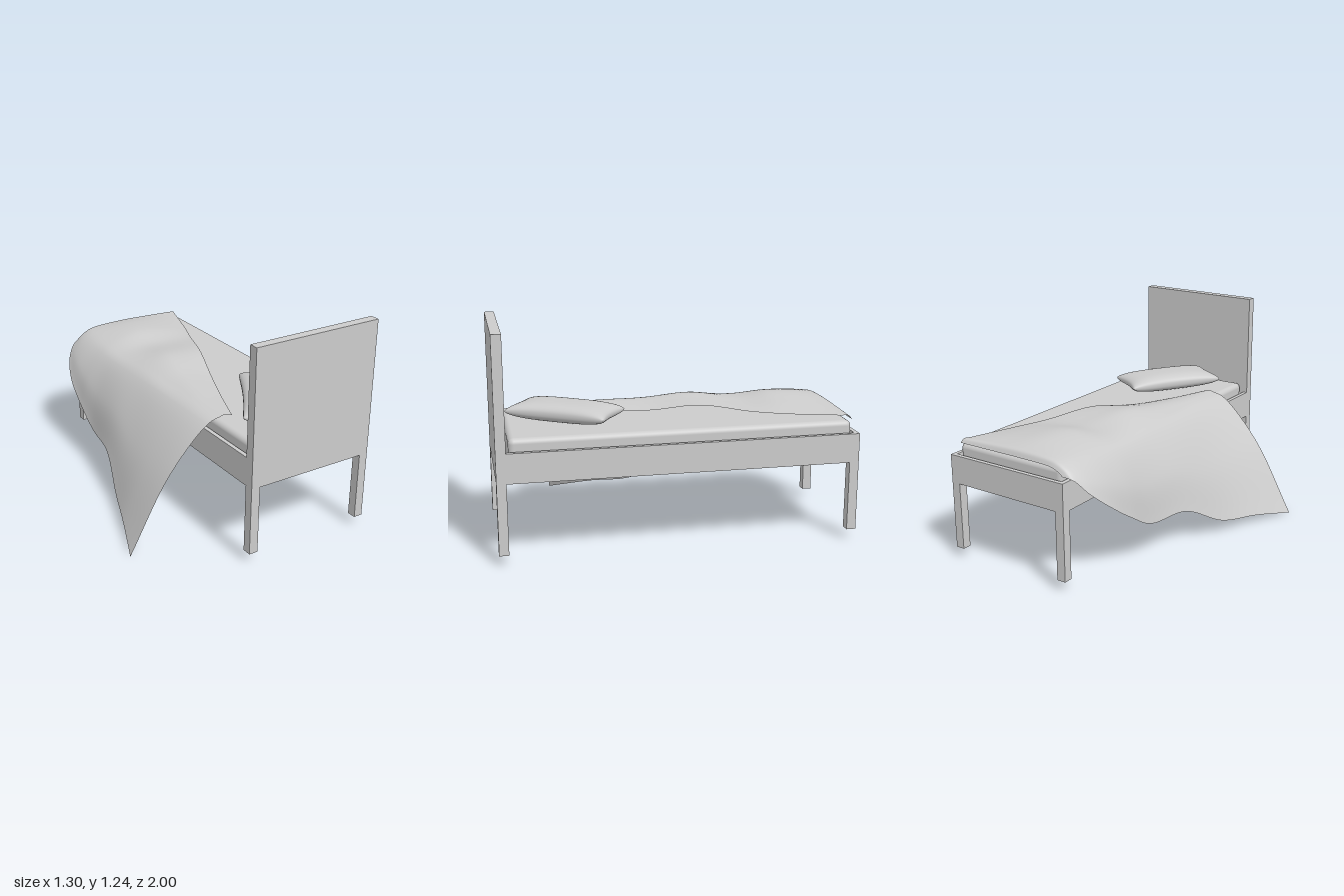
import * as THREE from 'three';
import { mergeVertices } from 'three/addons/utils/BufferGeometryUtils.js';
import { RoundedBoxGeometry } from 'three/addons/geometries/RoundedBoxGeometry.js';

const material = new THREE.MeshStandardMaterial({ color: 0xcccccc });
const clothMaterial = new THREE.MeshStandardMaterial({ color: 0xcccccc, side: THREE.DoubleSide });

// Outer limits of the bed frame
const X0 = -0.14, X1 = 0.645, RAIL_LOW = 0.455, RAIL_TOP = 0.62;

function add(group, name, geometry, mat = material) {
  const mesh = new THREE.Mesh(geometry, mat);
  mesh.name = name;
  group.add(mesh);
  return mesh;
}

// Box given by its lower and upper corner
function box(group, name, [ax, ay, az], [bx, by, bz]) {
  const mesh = add(group, name, new THREE.BoxGeometry(bx - ax, by - ay, bz - az));
  mesh.position.set((ax + bx) / 2, (ay + by) / 2, (az + bz) / 2);
}

function createFrame() {
  const frame = new THREE.Group();
  frame.name = 'bedFrame';
  const t = 0.025, leg = 0.053;
  box(frame, 'headboard', [X0, RAIL_LOW, 0.945], [X1, 1.245, 1]);
  box(frame, 'footRail', [X0, RAIL_LOW, -1], [X1, RAIL_TOP, -1 + t]);
  for (const [side, x] of [['right', X0], ['left', X1 - t]]) {
    box(frame, side + 'Rail', [x, RAIL_LOW, -1 + t], [x + t, RAIL_TOP, 0.945]);
  }
  box(frame, 'basePanel', [X0 + t, RAIL_LOW, -1 + t], [X1 - t, 0.5, 0.945]);
  for (const x of [X0, X1 - leg]) {
    for (const z of [-1, 1 - leg]) {
      box(frame, 'leg', [x, 0.06, z], [x + leg, RAIL_LOW, z + leg]);
    }
  }
  return frame;
}

// Cushion: a box whose faces swell in the middle and pinch at the rim
function pillowGeometry(halfWidth, halfLength, halfHeight) {
  let geometry = new THREE.BoxGeometry(2, 2, 2, 28, 1, 36);
  const p = geometry.attributes.position;
  for (let i = 0; i < p.count; i++) {
    const u = Math.sin(p.getX(i) * Math.PI / 2), v = Math.sin(p.getZ(i) * Math.PI / 2);
    const swell = Math.pow(Math.max(0, (1 - u ** 4) * (1 - v ** 4)), 0.42);
    const dome = 1 - 0.22 * (u * u + v * v) / 2;
    p.setXYZ(i,
      u * halfWidth * (1 - 0.1 * (1 - v * v) - 0.05 * (u * v) ** 8),
      Math.sign(p.getY(i)) * halfHeight * swell * dome,
      v * halfLength * (1 - 0.08 * (1 - u * u) - 0.04 * (u * v) ** 8));
  }
  geometry.deleteAttribute('uv');
  geometry.deleteAttribute('normal');
  geometry = mergeVertices(geometry, 1e-5);
  geometry.computeVertexNormals();
  return geometry;
}

// Draped cloth: cross-sections along the bed, from the open edge to the hanging hem
function blanketGeometry() {
  // z, open edge x y, ridge y, mattress edge x y, shoulder x y, hanging fold x y, hem x y
  const rows = [
    [0.61, 0.00, 0.69, 0.705, -0.08, 0.70, -0.16, 0.675, -0.40, 0.43, -0.65, 0.003],
    [0.35, 0.10, 0.69, 0.715, -0.08, 0.71, -0.16, 0.675, -0.37, 0.41, -0.55, 0.055],
    [0.10, 0.20, 0.70, 0.73, -0.08, 0.71, -0.16, 0.675, -0.345, 0.40, -0.46, 0.09],
    [-0.17, 0.30, 0.74, 0.76, -0.08, 0.72, -0.16, 0.67, -0.30, 0.46, -0.37, 0.225],
    [-0.45, 0.41, 0.715, 0.73, -0.08, 0.71, -0.16, 0.67, -0.275, 0.47, -0.32, 0.24],
    [-0.63, 0.48, 0.71, 0.76, -0.08, 0.72, -0.16, 0.675, -0.265, 0.52, -0.31, 0.34],
    [-0.80, 0.535, 0.71, 0.755, -0.08, 0.72, -0.155, 0.68, -0.24, 0.58, -0.29, 0.46],
    [-0.91, 0.57, 0.71, 0.735, -0.07, 0.715, -0.14, 0.68, -0.20, 0.62, -0.24, 0.56],
    [-0.955, 0.585, 0.71, 0.722, -0.05, 0.71, -0.11, 0.685, -0.15, 0.655, -0.18, 0.63],
    [-0.972, 0.59, 0.69, 0.69, -0.03, 0.685, -0.07, 0.675, -0.10, 0.66, -0.12, 0.645],
  ];
  // One curve along the bed per control point of the section
  const section = [
    r => [r[1], r[2]],
    r => [r[1] * 0.67 + r[4] * 0.33, r[2] * 0.35 + r[3] * 0.65],
    r => [r[1] * 0.33 + r[4] * 0.67, r[3]],
    r => [r[4], r[5]], r => [r[6], r[7]], r => [r[8], r[9]], r => [r[10], r[11]],
  ];
  const rails = section.map(f => new THREE.CatmullRomCurve3(
    rows.map(r => new THREE.Vector3(...f(r), r[0]))));
  const nu = 48, nv = 72, points = [], index = [];
  for (let j = 0; j <= nv; j++) {
    const across = new THREE.CatmullRomCurve3(rails.map(c => c.getPoint(j / nv)));
    for (let i = 0; i <= nu; i++) {
      points.push(...across.getPoint(i / nu).toArray());
      if (i < nu && j < nv) {
        const a = j * (nu + 1) + i, b = a + nu + 1;
        index.push(a, b, a + 1, b, b + 1, a + 1);
      }
    }
  }
  const geometry = new THREE.BufferGeometry();
  geometry.setAttribute('position', new THREE.Float32BufferAttribute(points, 3));
  // Faces point up
  for (let k = 0; k < index.length; k += 3) [index[k + 1], index[k + 2]] = [index[k + 2], index[k + 1]];
  geometry.setIndex(index);
  geometry.computeVertexNormals();
  return geometry;
}

export function createModel() {
  const bed = new THREE.Group();
  bed.name = 'bed';
  bed.add(createFrame());

  const mattress = add(bed, 'mattress', new RoundedBoxGeometry(0.71, 0.185, 1.895, 5, 0.03));
  mattress.position.set(0.25, 0.5925, -0.0175);

  const pillow = add(bed, 'pillow', pillowGeometry(0.155, 0.31, 0.055));
  pillow.position.set(0.2525, 0.74, 0.5925);
  pillow.rotation.y = -0.572;

  add(bed, 'blanket', blanketGeometry(), clothMaterial);
  return bed;
}
